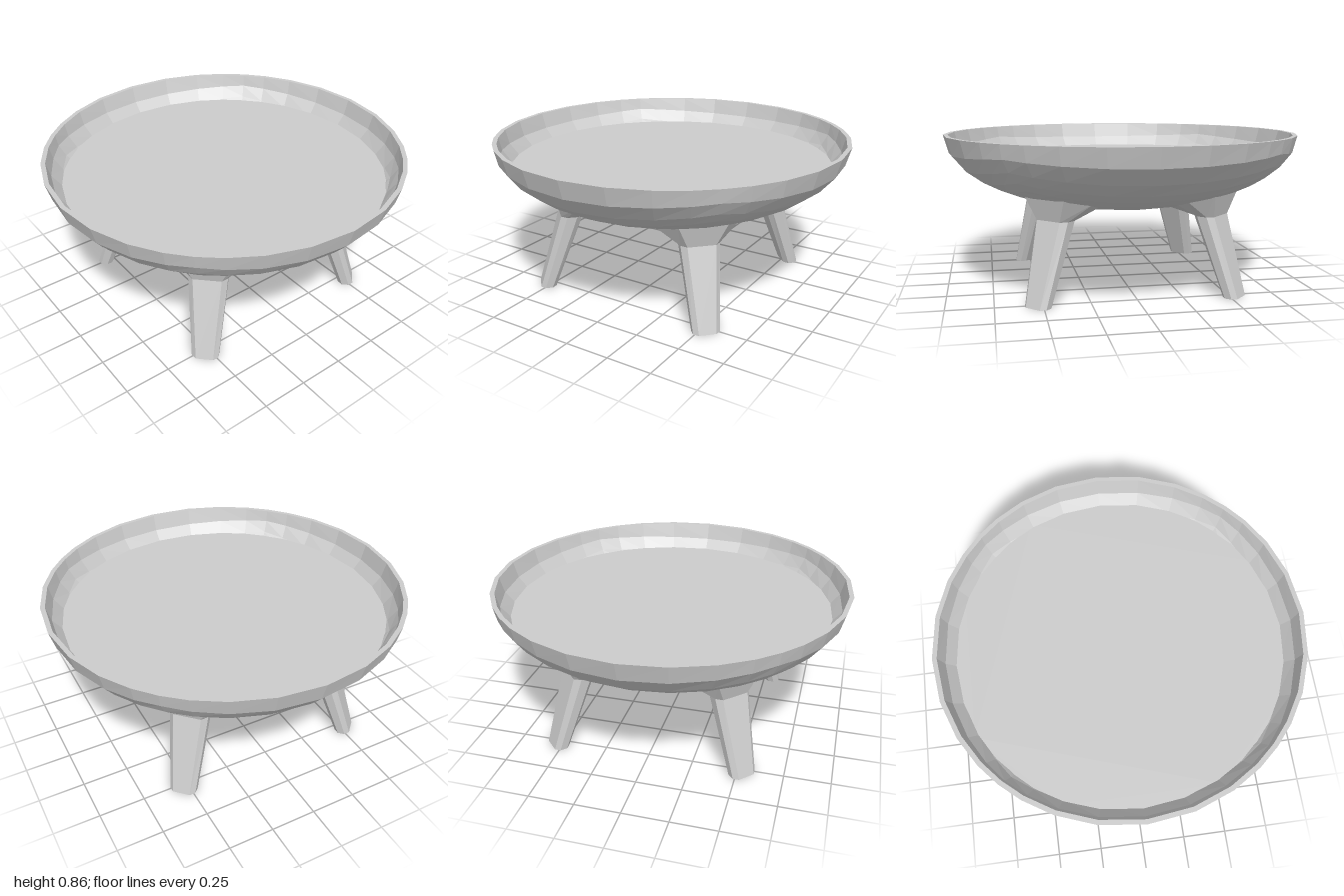
import * as THREE from 'three';

const RIM_Y = 0.855, DEPTH = 0.425, WALL = 0.025, FLOOR_Y = 0.71;

const grey = () => new THREE.MeshStandardMaterial({ color: 0xcccccc, flatShading: true });

function addMesh(parent, name, geometry) {
  const mesh = new THREE.Mesh(geometry, grey());
  mesh.name = name;
  parent.add(mesh);
  return mesh;
}

// Lower half of a flattened sphere, made by inflating an open-topped box.
// Keeps the named box sides (0 +x, 1 -x, 2 +y, 3 -y, 4 +z, 5 -z).
function shell(rows, sides, inset, inward) {
  const h = rows / 4;
  const geo = new THREE.BoxGeometry(2, h, 2, 8, rows, 8).translate(0, -h / 2, 0);
  const p = geo.attributes.position;
  const v = new THREE.Vector3(), n = new THREE.Vector3();
  for (let i = 0; i < p.count; i++) {
    v.fromBufferAttribute(p, i).normalize();
    n.set(v.x, v.y / DEPTH, v.z).normalize();
    v.y *= DEPTH;
    v.addScaledVector(n, -inset);
    p.setXYZ(i, v.x, v.y + RIM_Y, v.z);
  }
  const index = [];
  for (const s of sides) {
    const { start, count } = geo.groups[s];
    for (let i = start; i < start + count; i += 3) {
      const [a, b, c] = [0, 1, 2].map((k) => geo.index.getX(i + k));
      index.push(...(inward ? [a, c, b] : [a, b, c]));
    }
  }
  geo.setIndex(index);
  geo.clearGroups();
  geo.computeVertexNormals();
  return geo;
}

// 32-sided outline whose corners match the shell's columns
function outline(radius) {
  const pts = [];
  for (let q = 0; q < 4; q++) {
    for (let k = -4; k < 4; k++) {
      const a = Math.atan(k / 4) + (q * Math.PI) / 2;
      pts.push(new THREE.Vector2(radius * Math.cos(a), radius * Math.sin(a)));
    }
  }
  return pts;
}

function flatFace(radius, holeRadius, y) {
  const shape = new THREE.Shape(outline(radius));
  if (holeRadius) shape.holes.push(new THREE.Path(outline(holeRadius).reverse()));
  return new THREE.ShapeGeometry(shape).rotateX(-Math.PI / 2).translate(0, y, 0);
}

// Height of the bowl's underside at a point
const bowlY = (x, z) => RIM_Y - DEPTH * Math.sqrt(1 - x * x - z * z);

// Chamfered rectangle, reaching out along +z: r centre, a/b half sizes, af/bf half flats
function legRing({ r, y, a, af, b, bf }) {
  return [[a, -bf], [a, bf], [af, b], [-af, b], [-a, bf], [-a, -bf], [-af, -b], [af, -b]]
    .map(([x, z]) => [x, y ?? bowlY(x, r + z) + 0.015, r + z]);
}

function legGeometry() {
  const rings = [
    { r: 0.747, y: 0, a: 0.072, af: 0.047, b: 0.043, bf: 0.02 },
    { r: 0.597, y: 0.435, a: 0.105, af: 0.076, b: 0.06, bf: 0.028 },
    { r: 0.54, a: 0.235, af: 0.135, b: 0.15, bf: 0.035 }, // flare meets the bowl
  ].map(legRing);
  const index = [];
  for (let j = 0; j < 2; j++) {
    for (let i = 0; i < 8; i++) {
      const k = (i + 1) % 8;
      const a = j * 8 + i, b = j * 8 + k;
      index.push(a, a + 8, b, b, a + 8, b + 8);
    }
  }
  // Sole
  for (let i = 1; i < 7; i++) index.push(0, i, i + 1);
  const geo = new THREE.BufferGeometry();
  geo.setAttribute('position', new THREE.Float32BufferAttribute(rings.flat(2), 3));
  geo.setIndex(index);
  geo.computeVertexNormals();
  return geo;
}

export function createModel() {
  const model = new THREE.Group();
  model.name = 'leggedBowl';

  // Bowl
  const bowl = new THREE.Group();
  bowl.name = 'bowl';
  addMesh(bowl, 'outerShell', shell(4, [0, 1, 3, 4, 5], 0, false));
  addMesh(bowl, 'innerWall', shell(3, [0, 1, 4, 5], WALL, true));
  addMesh(bowl, 'rim', flatFace(1, 1 - WALL, RIM_Y));
  addMesh(bowl, 'floor', flatFace(0.927, 0, FLOOR_Y));
  model.add(bowl);

  // Four splayed legs on the diagonals
  const leg = legGeometry();
  ['frontLeftLeg', 'backLeftLeg', 'backRightLeg', 'frontRightLeg'].forEach((name, i) => {
    addMesh(model, name, leg).rotation.y = Math.PI / 4 + (i * Math.PI) / 2;
  });
  return model;
}
